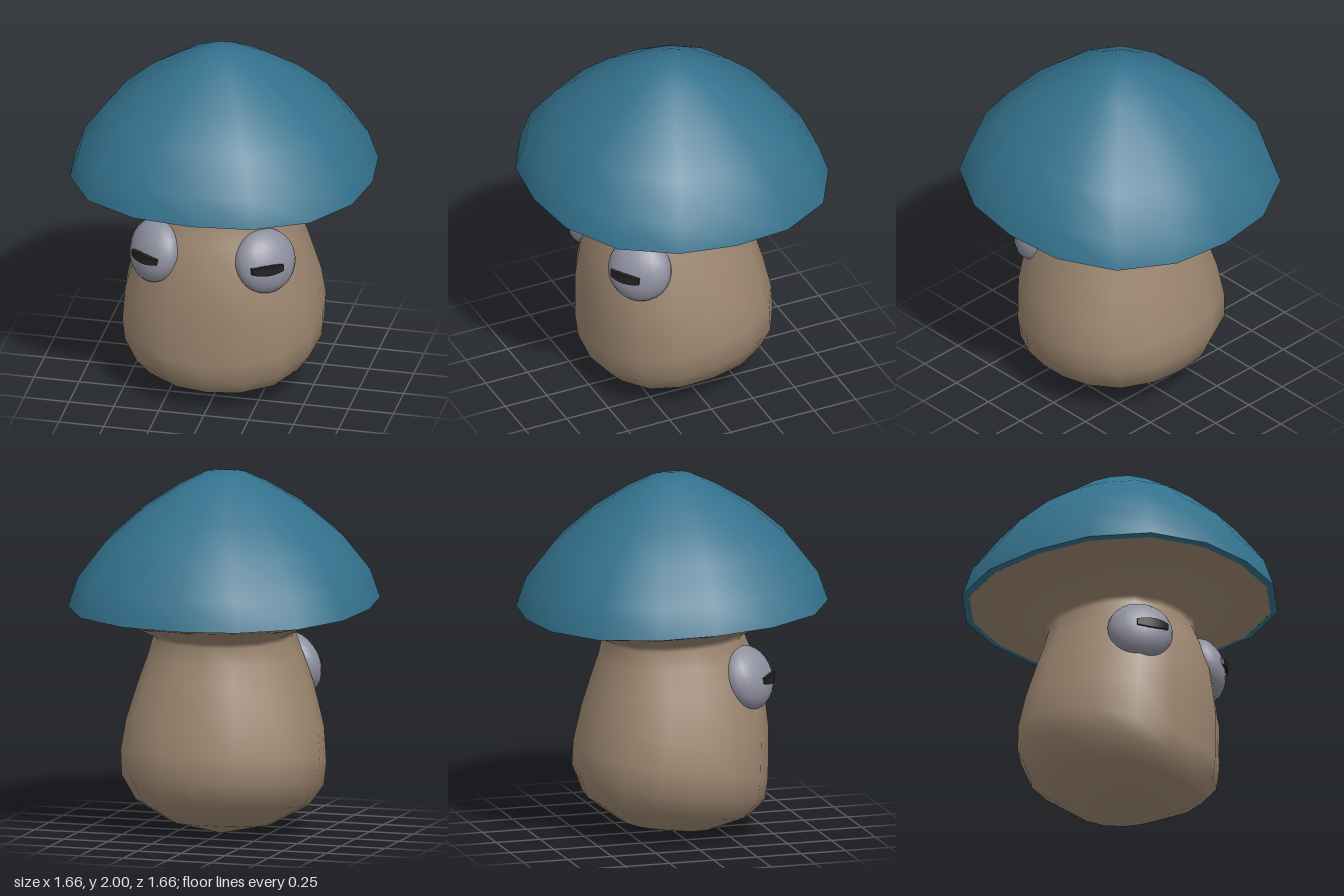
import * as THREE from 'three';
import { mergeVertices } from 'three/addons/utils/BufferGeometryUtils.js';

const SIDES = 16;
const material = (color) => new THREE.MeshStandardMaterial({ color, side: THREE.DoubleSide });

// Skins rings, listed from below upwards: [half width, side y, front z, front y, back z, back y]
function skin(name, rings, mat) {
  const positions = [], index = [];
  rings.forEach(([hx, sy, fz, fy, bz, by], i) => {
    for (let j = 0; j < SIDES; j++) {
      const a = (j / SIDES) * Math.PI * 2;
      const bulge = 1 + 0.055 * Math.sin(2 * a) ** 2; // slightly squared outline
      const c = Math.cos(a);
      positions.push(
        hx * Math.sin(a) * bulge,
        sy + (c * (fy - by)) / 2 + c * c * ((fy + by) / 2 - sy),
        (fz + bz) / 2 + ((fz - bz) / 2) * c * bulge
      );
      if (i < rings.length - 1) {
        const k = (j + 1) % SIDES, p = i * SIDES, q = p + SIDES;
        index.push(p + j, p + k, q + j, p + k, q + k, q + j);
      }
    }
  });
  let geometry = new THREE.BufferGeometry();
  geometry.setAttribute('position', new THREE.Float32BufferAttribute(positions, 3));
  geometry.setIndex(index);
  geometry = mergeVertices(geometry, 1e-4);
  geometry.computeVertexNormals();
  const mesh = new THREE.Mesh(geometry, mat);
  mesh.name = name;
  return mesh;
}

// Ring of the cap, tipped up towards the front
const capRing = ([r, y]) => [r, y, r, y + 0.045 * r, -r, y - 0.045 * r];

function createEye(side, eyeMat, slitMat) {
  const eye = new THREE.Group();
  eye.name = side > 0 ? 'leftEye' : 'rightEye';
  eye.position.set(side * 0.305, 0.9, 0.337);
  eye.rotation.y = (side * Math.PI) / 4;

  // Flattened ball leaning back
  const ball = new THREE.Mesh(new THREE.SphereGeometry(1, 20, 14), eyeMat);
  ball.name = 'eyeball';
  ball.scale.set(0.18, 0.178, 0.115);
  ball.rotation.x = -0.33;
  eye.add(ball);

  // Narrow pupil bent around the ball, tapered at the ends
  const geometry = new THREE.BoxGeometry(0.178, 0.054, 0.03, 8, 1, 1);
  const p = geometry.attributes.position;
  for (let i = 0; i < p.count; i++) {
    const u = p.getX(i) / 0.089;
    const x = p.getX(i) - side * 0.049;
    const z = 0.118 * Math.sqrt(1 - (x / 0.18) ** 2) + p.getZ(i);
    p.setXYZ(i, x, p.getY(i) * (1 - 0.4 * u * u), z);
  }
  geometry.computeVertexNormals();
  const slit = new THREE.Mesh(geometry, slitMat);
  slit.name = 'pupil';
  eye.add(slit);
  return eye;
}

export function createModel() {
  const model = new THREE.Group();
  model.name = 'mushroom';
  const capMat = material(0x33718c);
  const stemMat = material(0x9c8670);
  const eyeMat = material(0x8f909f);
  const slitMat = material(0x222222);

  // Pear-shaped stem flaring into the underside of the cap
  model.add(skin('stem', [
    [0, 0.005, -0.05, 0.005, -0.05, 0.005],
    [0.26, 0.06, 0.2, 0.025, -0.3, 0.085],
    [0.46, 0.175, 0.41, 0.1, -0.475, 0.215],
    [0.54, 0.3, 0.49, 0.18, -0.53, 0.36],
    [0.55, 0.43, 0.505, 0.3, -0.52, 0.5],
    [0.53, 0.6, 0.51, 0.59, -0.475, 0.7],
    [0.465, 0.83, 0.485, 0.83, -0.425, 0.87],
    [0.41, 0.99, 0.43, 1.0, -0.39, 0.98],
    [0.38, 1.09, 0.385, 1.11, -0.37, 1.075],
    [0.39, 1.12, 0.4, 1.14, -0.39, 1.1],
    [0.53, 1.19, 0.54, 1.22, -0.54, 1.17],
    [0.7, 1.238, 0.7, 1.27, -0.7, 1.206],
    [0.79, 1.265, 0.79, 1.301, -0.79, 1.229],
  ], stemMat));

  // Cap dome and the thin lip under its rim
  model.add(skin('cap', [
    [0.828, 1.272], [0.775, 1.43], [0.63, 1.62], [0.45, 1.78],
    [0.25, 1.912], [0.12, 1.978], [0, 2],
  ].map(capRing), capMat));
  model.add(skin('capLip', [[0.79, 1.265], [0.828, 1.272]].map(capRing), capMat));

  for (const side of [1, -1]) model.add(createEye(side, eyeMat, slitMat));
  return model;
}
